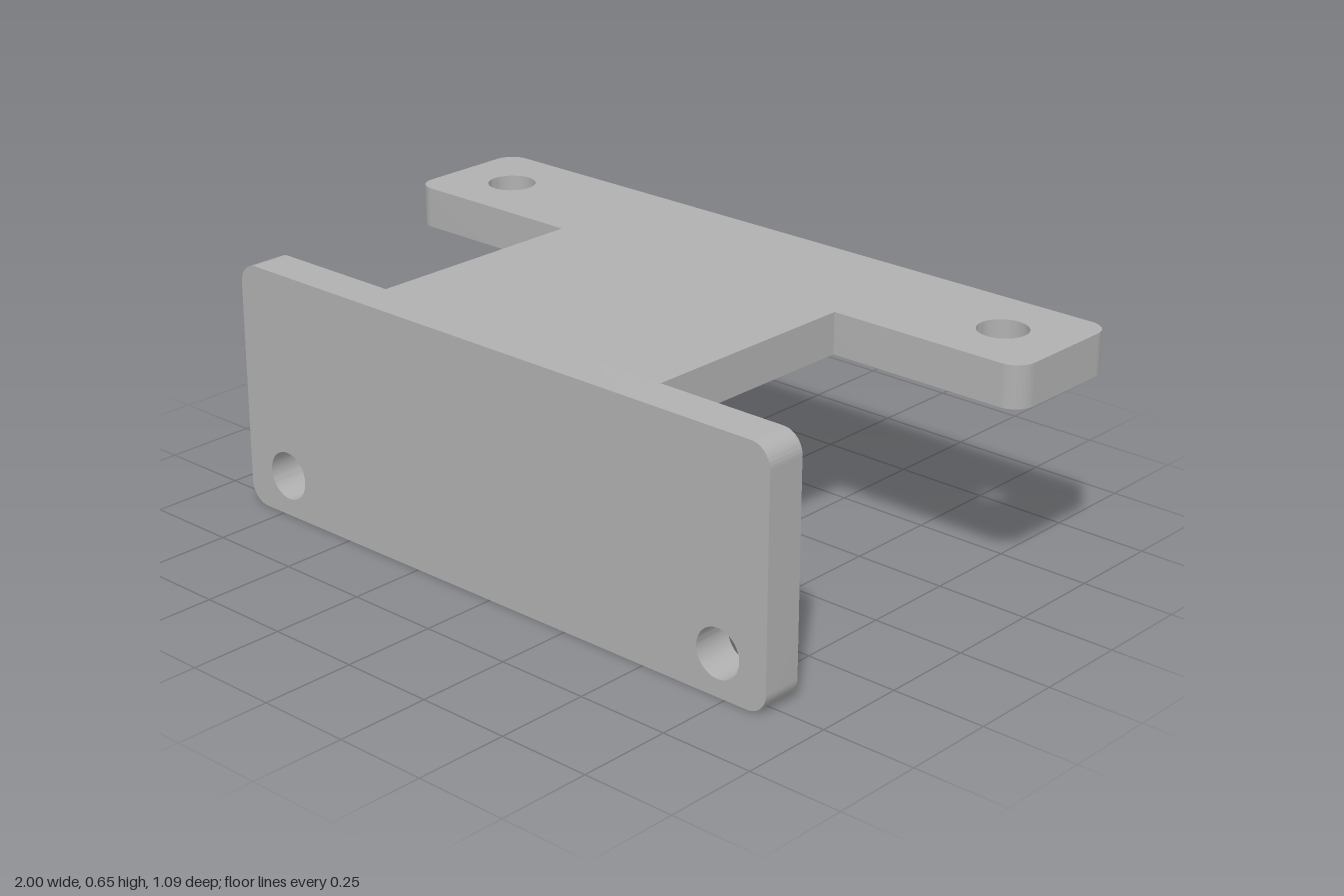
import * as THREE from 'three';
import { toCreasedNormals } from 'three/addons/utils/BufferGeometryUtils.js';

const T = 0.109; // plate thickness
const HEIGHT = 0.655;
const HALF_DEPTH = 0.545;

// Rounded rectangular plate centred on the origin, with a pair of mirrored bolt holes
function plateGeometry(width, height, holeX, holeY) {
  const r = 0.055, x = width / 2, y = height / 2;
  const shape = new THREE.Shape();
  shape.absarc(x - r, y - r, r, 0, Math.PI / 2);
  shape.absarc(-x + r, y - r, r, Math.PI / 2, Math.PI);
  shape.absarc(-x + r, -y + r, r, Math.PI, Math.PI * 1.5);
  shape.absarc(x - r, -y + r, r, Math.PI * 1.5, Math.PI * 2);
  shape.closePath();
  for (const side of [-1, 1]) {
    const hole = new THREE.Path();
    hole.absarc(side * holeX, holeY, 0.064, 0, Math.PI * 2, true);
    shape.holes.push(hole);
  }
  const geometry = new THREE.ExtrudeGeometry(shape, { depth: T, bevelEnabled: false, curveSegments: 24 });
  return toCreasedNormals(geometry, 0.6);
}

export function createModel() {
  const group = new THREE.Group();
  group.name = 'mountingBracket';
  const grey = new THREE.MeshStandardMaterial({ color: 0xb0b0b0 });
  grey.name = 'grey';

  const add = (name, geometry) => {
    const mesh = new THREE.Mesh(geometry, grey);
    mesh.name = name;
    group.add(mesh);
  };

  // Upright front plate with holes near its lower corners
  const front = plateGeometry(1.74, HEIGHT, 0.727, 0.11 - HEIGHT / 2);
  front.translate(0, HEIGHT / 2, HALF_DEPTH - T);
  add('frontPlate', front);

  // Flat rear bar with a hole at each end
  const barDepth = 0.362;
  const bar = plateGeometry(2, barDepth, 0.818, 0);
  bar.rotateX(-Math.PI / 2);
  bar.translate(0, HEIGHT - T, -HALF_DEPTH + barDepth / 2);
  add('rearBar', bar);

  // Neck joining the two, with a sloped gusset under its front end
  const zBack = -HALF_DEPTH + barDepth, zFront = HALF_DEPTH - T;
  const profile = new THREE.Shape([
    [zBack, HEIGHT - T], [0.293, HEIGHT - T], [zFront, 0.402], [zFront, HEIGHT], [zBack, HEIGHT],
  ].map(([z, y]) => new THREE.Vector2(z, y)));
  const neck = new THREE.ExtrudeGeometry(profile, { depth: 0.908, bevelEnabled: false });
  neck.rotateY(-Math.PI / 2);
  neck.translate(0.454, 0, 0);
  add('neckWithGusset', neck);

  return group;
}
